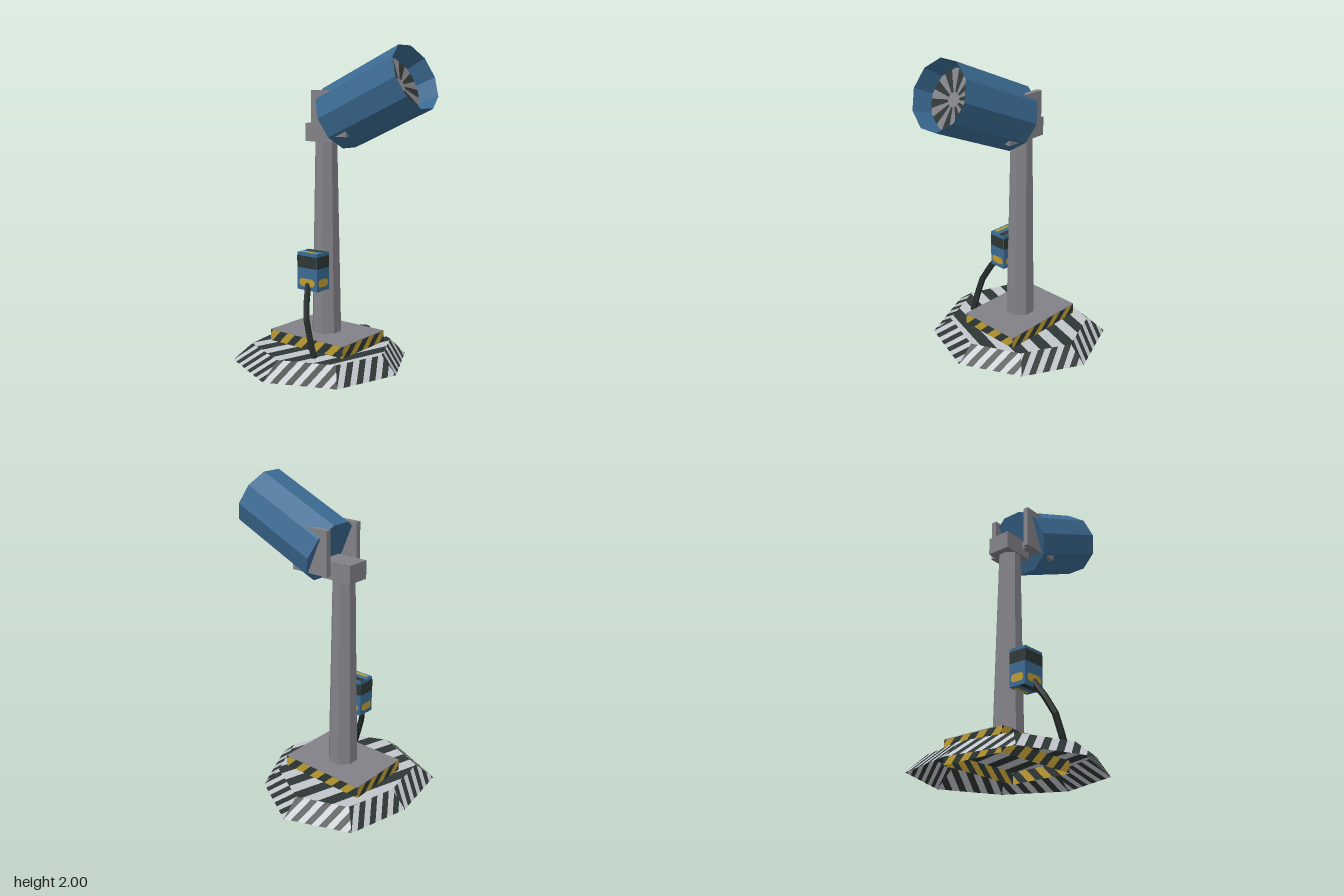
import * as THREE from 'three';

const mat = (name, color) => {
  const m = new THREE.MeshStandardMaterial({ color, flatShading: true, side: THREE.DoubleSide });
  m.name = name;
  return m;
};

// Cut a convex polygon into alternating bands of s(p); returns triangles for the two colours
function bands(poly, s, half, out) {
  const clip = (pts, f) => {
    const res = [];
    pts.forEach((p, i) => {
      const q = pts[(i + 1) % pts.length], a = f(p), b = f(q);
      if (a >= 0) res.push(p);
      if ((a >= 0) !== (b >= 0)) res.push(p.clone().lerp(q, a / (a - b)));
    });
    return res;
  };
  const values = poly.map(s);
  const first = Math.floor(Math.min(...values) / half), last = Math.ceil(Math.max(...values) / half);
  for (let k = first; k < last; k++) {
    const piece = clip(clip(poly, p => s(p) - k * half), p => (k + 1) * half - s(p));
    for (let i = 1; i + 1 < piece.length; i++) out[k & 1].push(piece[0], piece[i], piece[i + 1]);
  }
}

export function createModel() {
  const root = new THREE.Group();
  root.name = 'floodlightOnPost';
  const white = mat('paleStripe', 0xc2c6cc);
  const dark = mat('darkStripe', 0x2e3735);
  const yellow = mat('hazardYellow', 0xbd9c32);
  const blue = mat('bluePaint', 0x3a6a92);
  const grey = mat('greyMetal', 0x828187);
  const black = mat('cableBlack', 0x222a28);

  const add = (name, geo, m, pos = [0, 0, 0], parent = root) => {
    const mesh = new THREE.Mesh(geo, m);
    mesh.name = name;
    mesh.position.set(...pos);
    parent.add(mesh);
    return mesh;
  };
  // Box given by its min and max on each axis
  const box = (name, m, [x0, x1], [y0, y1], [z0, z1], parent = root) =>
    add(name, new THREE.BoxGeometry(x1 - x0, y1 - y0, z1 - z0), m,
      [(x0 + x1) / 2, (y0 + y1) / 2, (z0 + z1) / 2], parent);
  const addBands = (name, out, mats) => out.forEach((pts, i) => {
    const geo = new THREE.BufferGeometry().setFromPoints(pts);
    geo.computeVertexNormals();
    add(name + (i ? 'Dark' : 'Light'), geo, mats[i]);
  });
  const ring = (xz, y) => xz.map(([x, z]) => new THREE.Vector3(x, y, z));
  // Striped walls between two rings; stripes lean to the right going up
  const walls = (low, high, half, lean, out) => low.forEach((a, i) => {
    const j = (i + 1) % low.length;
    const u = low[j].clone().sub(a).normalize();
    bands([a, low[j], high[j], high[i]],
      p => p.clone().sub(a).dot(u) - lean * (p.y - a.y), half, out);
  });

  // Base: uneven eight-sided foot, open underneath
  const foot = ring([[-0.12, 0.59], [0.30, 0.40], [0.44, -0.01], [0.25, -0.39],
    [-0.12, -0.59], [-0.53, -0.43], [-0.63, -0.02], [-0.555, 0.41]], 0);
  const deck = ring([[-0.12, 0.46], [0.22, 0.31], [0.33, -0.01], [0.185, -0.315],
    [-0.12, -0.475], [-0.445, -0.35], [-0.525, -0.02], [-0.47, 0.32]], 0.105);
  const slopes = [[], []], top = [[], []], curb = [[], []];
  walls(foot, deck, 0.046, 0.9, slopes);
  addBands('baseSlope', slopes, [white, dark]);
  bands(deck, p => p.x + 0.3 * p.z + 0.214, 0.0825, top);
  addBands('baseDeck', top, [white, dark]);

  // Plinth: hazard-striped sides and a grey top
  const rect = [[-0.42, 0.195], [0.18, 0.195], [0.18, -0.24], [-0.42, -0.24]];
  walls(ring(rect, 0.03), ring(rect, 0.178), 0.063, 1, curb);
  addBands('plinthSide', curb, [yellow, dark]);
  box('plinthTop', grey, [-0.42, 0.18], [0.176, 0.181], [-0.24, 0.195]);

  // Post and its head block
  const post = new THREE.CylinderGeometry(0.072, 0.098, 1.26, 8);
  post.rotateY(Math.PI / 8);
  add('post', post, grey, [-0.12, 0.81, -0.02]);
  box('postHead', grey, [-0.23, -0.015], [1.42, 1.535], [-0.1, 0.055]);

  // Fork that holds the lamp
  for (const z of [-0.1625, 0.1125]) {
    box('forkArm', grey, [-0.12, 0.15], [1.46, 1.74], [z - 0.0175, z + 0.0175]);
  }
  box('forkCrossBar', grey, [-0.08, 0.08], [1.47, 1.52], [-0.16, 0.11]);

  // Lamp: ten-sided barrel along its local x, tilted up
  const lamp = new THREE.Group();
  lamp.name = 'lamp';
  lamp.position.set(-0.02, 1.5675, -0.025);
  lamp.rotation.z = 0.413;
  root.add(lamp);
  const R = 0.21, L = 0.615, depth = 0.125;
  const alongX = g => g.rotateZ(-Math.PI / 2);
  const facingX = g => g.rotateY(Math.PI / 2);
  add('barrel', alongX(new THREE.CylinderGeometry(R, R, L, 10, 1, true)), blue, [L / 2, 0, 0], lamp);
  add('barrelBack', facingX(new THREE.CircleGeometry(R, 10)).rotateY(Math.PI), blue, [0, 0, 0], lamp);
  add('reflector', alongX(new THREE.CylinderGeometry(R - 0.002, 0.185, depth, 10, 1, true)), blue,
    [L - depth / 2, 0, 0], lamp);
  add('lens', facingX(new THREE.CircleGeometry(0.185, 10)), grey, [L - depth, 0, 0], lamp);
  for (let i = 0; i < 10; i++) {
    const ray = new THREE.CircleGeometry(0.176, 1, (i + 0.25) * Math.PI / 5, Math.PI / 10);
    add('lensRay', facingX(ray), dark, [L - depth + 0.004, 0, 0], lamp);
  }
  add('lensHub', facingX(new THREE.CircleGeometry(0.045, 10)), grey, [L - depth + 0.007, 0, 0], lamp);

  // Switch box with a dark band and a yellow label on its faces
  const sw = new THREE.Group();
  sw.name = 'switchBox';
  sw.position.set(-0.12, 0.605, 0.115);
  root.add(sw);
  const [w, h, d] = [0.16, 0.24, 0.12];
  add('switchBoxBody', new THREE.BoxGeometry(w, h, d), blue, [0, 0, 0], sw);
  const face = (width, height, dist, rx, ry) => {
    const g = new THREE.Group();
    g.name = 'switchBoxFace';
    g.rotation.set(rx, ry, 0);
    sw.add(g);
    add('band', new THREE.PlaneGeometry(width, height * 0.32), dark, [0, height * 0.26, dist + 0.002], g);
    const a = width * 0.39, b = height * 0.105, c = a * 0.7;
    const label = new THREE.Shape([[-a, -b / 2], [-c, -b], [c, -b], [a, -b / 2],
      [a, b / 2], [c, b], [-c, b], [-a, b / 2]].map(p => new THREE.Vector2(...p)));
    add('label', new THREE.ShapeGeometry(label), yellow, [0, -height * 0.29, dist + 0.002], g);
  };
  for (let i = 0; i < 4; i++) face(i % 2 ? d : w, h, (i % 2 ? w : d) / 2, 0, i * Math.PI / 2);
  face(w, d, h / 2, -Math.PI / 2, 0);
  face(w, d, h / 2, Math.PI / 2, 0);

  // Cable from the switch box down to the deck
  const path = new THREE.CatmullRomCurve3([[-0.12, 0.525, 0.165], [-0.05, 0.34, 0.265], [0.03, 0.1, 0.287]]
    .map(p => new THREE.Vector3(...p)));
  add('cable', new THREE.TubeGeometry(path, 4, 0.021, 6), black);

  return root;
}
